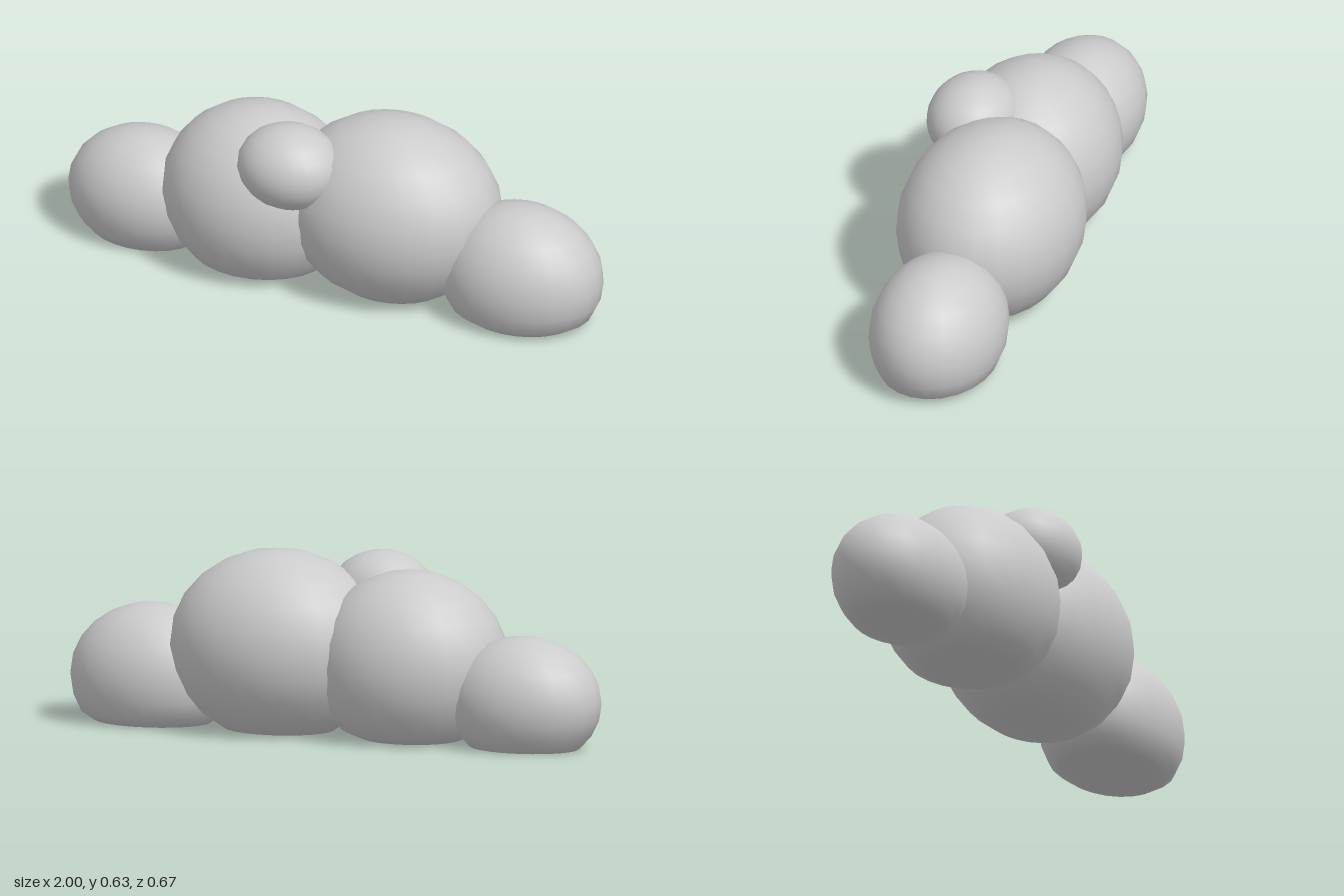
import * as THREE from 'three';
import { mergeVertices } from 'three/addons/utils/BufferGeometryUtils.js';

// Ellipsoid puff whose underside is pressed flat onto the ground plane
function puff(name, [x, y, z], [rx, ry, rz], material) {
  let geo = new THREE.SphereGeometry(1, 24, 12).scale(rx, ry, rz);
  const pos = geo.attributes.position;
  for (let i = 0; i < pos.count; i++) pos.setY(i, Math.max(pos.getY(i), -y));
  // Weld the seam so the recomputed normals stay smooth
  geo.deleteAttribute('uv');
  geo.deleteAttribute('normal');
  geo = mergeVertices(geo, 1e-5);
  geo.computeVertexNormals();
  const mesh = new THREE.Mesh(geo, material);
  mesh.name = name;
  mesh.position.set(x, y, z);
  return mesh;
}

export function createModel() {
  const cloud = new THREE.Group();
  cloud.name = 'cloud';
  const material = new THREE.MeshStandardMaterial({ color: 0xcccccc });

  // name, centre, radii
  const puffs = [
    ['rightEndPuff', [-0.72, 0.16, 0.02], [0.28, 0.226, 0.217]],
    ['rightMainPuff', [-0.28, 0.26, 0.025], [0.35, 0.326, 0.303]],
    ['leftMainPuff', [0.21, 0.297, -0.014], [0.393, 0.336, 0.32]],
    ['leftEndPuff', [0.7, 0.157, -0.012], [0.297, 0.255, 0.234]],
    ['frontTopPuff', [-0.097, 0.476, 0.17], [0.187, 0.149, 0.164]],
  ];
  for (const [name, centre, radii] of puffs) cloud.add(puff(name, centre, radii, material));
  return cloud;
}
